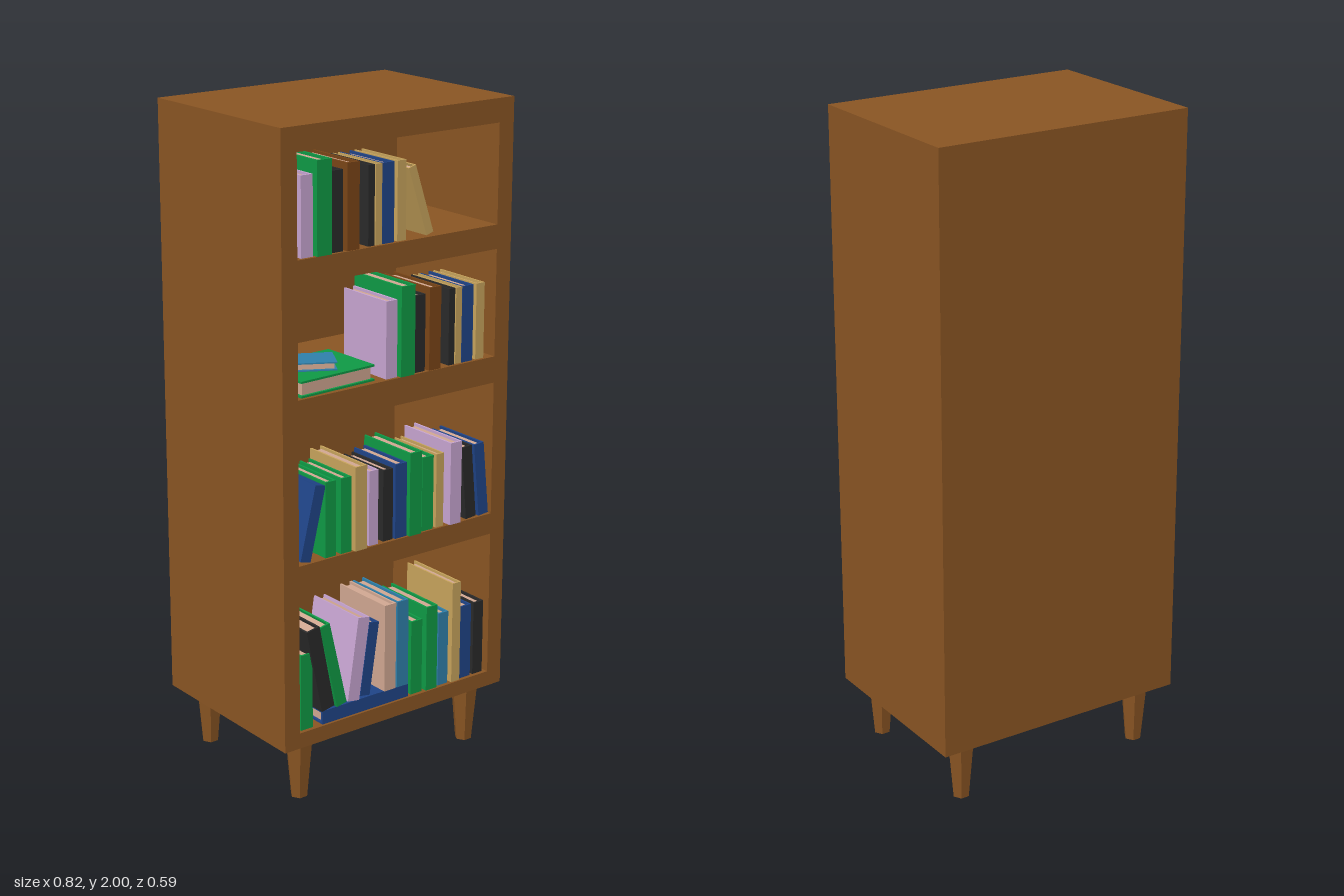
import * as THREE from 'three';

const mat = (name, color) => {
  const m = new THREE.MeshStandardMaterial({ color });
  m.name = name;
  return m;
};

export function createModel() {
  const M = {
    wood: mat('wood', 0x8a5523),
    green: mat('green', 0x0f9a45),
    blue: mat('navy', 0x1f4488),
    black: mat('black', 0x2a2a2a),
    lilac: mat('lilac', 0xc8a5d2),
    tan: mat('tan', 0xc8a45c),
    brown: mat('brown', 0x7a4517),
    sky: mat('lightBlue', 0x2f80ab),
    pages: mat('pages', 0xd2a892),
  };
  const root = new THREE.Group();
  root.name = 'bookcase';

  const add = (parent, name, geo, material, x = 0, y = 0, z = 0) => {
    const m = new THREE.Mesh(geo, material);
    m.name = name;
    m.position.set(x, y, z);
    parent.add(m);
    return m;
  };

  // Cabinet: front frame with four deep openings, closed by a back block
  const W = 0.41, inner = 0.357, bottom = 0.185, top = 2, front = 0.293, inside = -0.17, back = -0.297;
  const rect = (C, x, y0, y1) => {
    const p = new C();
    p.moveTo(-x, y0);
    p.lineTo(x, y0);
    p.lineTo(x, y1);
    p.lineTo(-x, y1);
    p.closePath();
    return p;
  };
  const frame = rect(THREE.Shape, W, bottom, top);
  const openings = [[1.635, 1.93], [1.24, 1.563], [0.75, 1.16], [0.233, 0.685]];
  openings.forEach(([a, b]) => frame.holes.push(rect(THREE.Path, inner, a, b)));
  add(root, 'cabinetFrame',
    new THREE.ExtrudeGeometry(frame, { depth: front - inside, bevelEnabled: false }), M.wood, 0, 0, inside);
  add(root, 'cabinetBack', new THREE.BoxGeometry(2 * W, top - bottom, inside - back),
    M.wood, 0, (top + bottom) / 2, (inside + back) / 2);

  // Tapered six-sided legs
  const legGeo = new THREE.CylinderGeometry(0.043, 0.026, bottom, 6).rotateY(Math.PI / 6).toNonIndexed();
  legGeo.computeVertexNormals();
  for (const x of [-0.317, 0.317])
    for (const z of [-0.232, 0.232]) add(root, 'leg', legGeo, M.wood, x, bottom / 2, z);

  // Book standing on its origin with the spine towards +z
  function book(color, w, h, d) {
    const g = new THREE.Group();
    g.name = 'book';
    const t = Math.min(0.006, w * 0.16);
    for (const s of [-1, 1])
      add(g, 'cover', new THREE.BoxGeometry(t, h, d), M[color], s * (w - t) / 2, h / 2, 0);
    add(g, 'spine', new THREE.BoxGeometry(w - 2 * t, h, t), M[color], 0, h / 2, (d - t) / 2);
    add(g, 'pageBlock', new THREE.BoxGeometry(w - 2 * t, h - 0.016, d - t - 0.008), M.pages,
      0, h / 2, (0.008 - t) / 2);
    return g;
  }

  // Row of books: [colour, bottom centre x, width, height, lean to the right-hand side, lift]
  function row(name, list, y, z, dx = 0) {
    const g = new THREE.Group();
    g.name = name;
    for (const [color, x, w, h, lean = 0, lift = 0] of list) {
      const b = book(color, w, h, Math.min(0.86 * h, 0.216));
      b.position.set(x + dx, y + lift + Math.abs(Math.sin(lean)) * w / 2, z);
      b.rotation.z = lean;
      g.add(b);
    }
    root.add(g);
  }

  // The same set stands on the two upper shelves
  const set = [
    ['lilac', -0.317, 0.04, 0.228], ['green', -0.265, 0.05, 0.265], ['black', -0.216, 0.042, 0.228],
    ['brown', -0.164, 0.042, 0.245], ['lilac', -0.127, 0.024, 0.133], ['black', -0.096, 0.022, 0.228],
    ['tan', -0.07, 0.022, 0.228], ['blue', -0.037, 0.042, 0.228], ['tan', 0.011, 0.031, 0.228],
  ];
  row('topShelfBooks', [...set, ['tan', 0.12, 0.026, 0.21, 0.32]], 1.635, 0.185);
  row('secondShelfBooks', set, 1.24, 0.185, 0.296);
  row('thirdShelfBooks', [
    ['blue', -0.328, 0.036, 0.225, -0.24], ['green', -0.24, 0.038, 0.228], ['green', -0.185, 0.038, 0.228],
    ['tan', -0.138, 0.042, 0.255], ['lilac', -0.085, 0.033, 0.228], ['black', -0.029, 0.036, 0.218],
    ['blue', 0.016, 0.042, 0.228], ['green', 0.063, 0.044, 0.255], ['green', 0.116, 0.042, 0.228],
    ['tan', 0.162, 0.028, 0.228], ['lilac', 0.215, 0.042, 0.255], ['black', 0.284, 0.038, 0.228, 0.09],
    ['blue', 0.333, 0.037, 0.228, 0.1],
  ], 0.75, 0.188);
  const lift = 0.042;
  row('bottomShelfBooks', [
    ['green', -0.323, 0.042, 0.235], ['black', -0.251, 0.046, 0.268, 0.2, lift],
    ['green', -0.201, 0.036, 0.272, 0.23, lift], ['lilac', -0.158, 0.042, 0.258, -0.15, lift],
    ['blue', -0.108, 0.036, 0.228, -0.15, lift], ['pages', -0.021, 0.042, 0.274, 0, lift],
    ['sky', 0.026, 0.042, 0.274, 0, lift], ['green', 0.085, 0.042, 0.235], ['green', 0.138, 0.042, 0.27],
    ['sky', 0.188, 0.038, 0.235], ['tan', 0.233, 0.032, 0.322], ['blue', 0.275, 0.044, 0.235],
    ['black', 0.326, 0.038, 0.235],
  ], 0.233, 0.18);

  // Books lying flat; turn is about the vertical
  function flat(color, w, h, d, x, y, z, turn) {
    const b = book(color, w, h, d);
    b.rotation.z = Math.PI / 2;
    b.position.set(h / 2, w / 2, 0);
    const g = new THREE.Group();
    g.name = 'lyingBook';
    g.add(b);
    g.position.set(x, y, z);
    g.rotation.y = turn;
    root.add(g);
  }
  flat('blue', lift, 0.32, 0.22, -0.11, 0.233, 0.175, 0);
  flat('green', 0.048, 0.265, 0.205, -0.21, 1.24, 0.175, Math.PI + 0.04);
  flat('sky', 0.025, 0.13, 0.1, -0.225, 1.288, 0.18, Math.PI - 0.5);
  return root;
}
